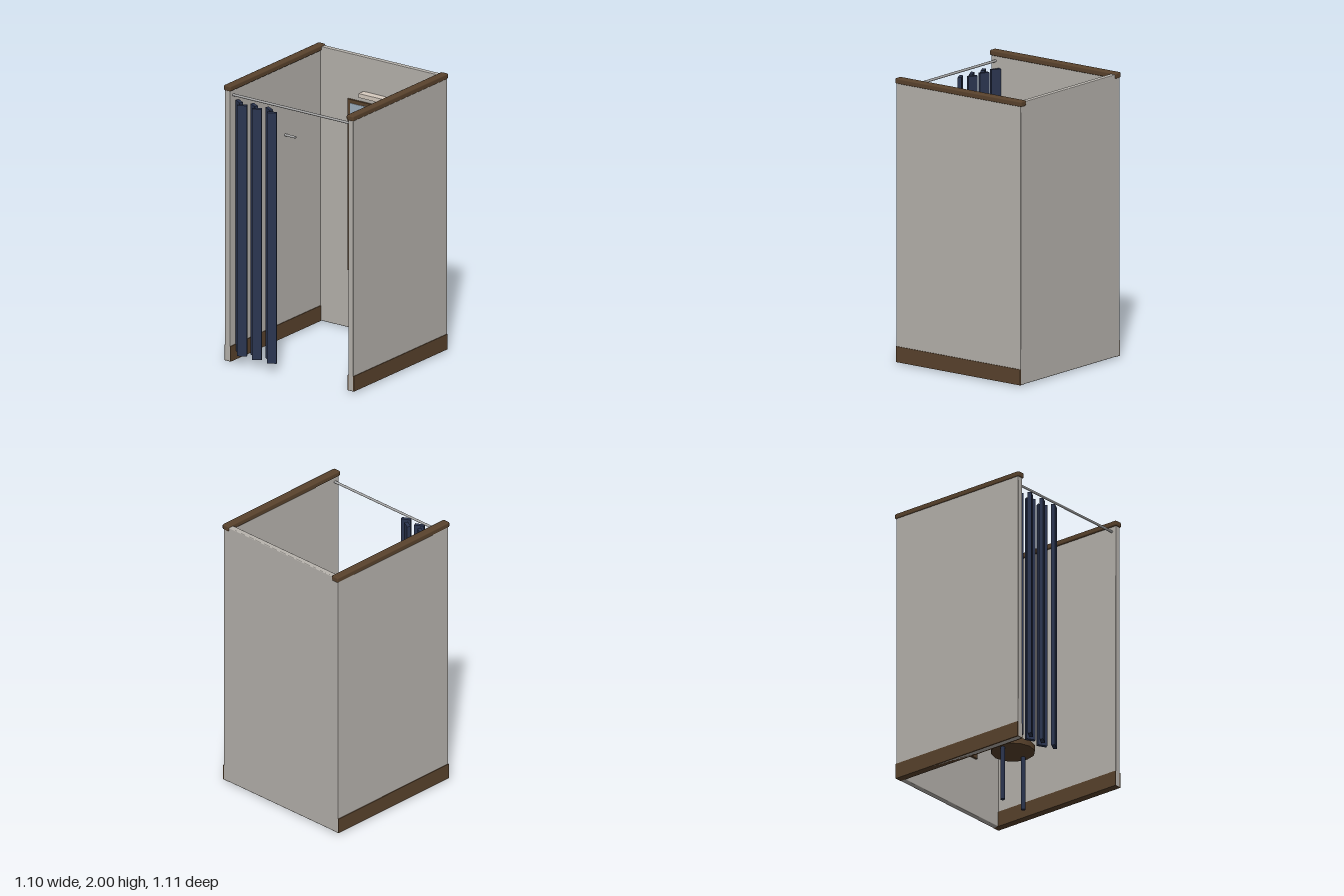
import * as THREE from 'three';
import { RoundedBoxGeometry } from 'three/addons/geometries/RoundedBoxGeometry.js';

const material = (name, color) => {
  const m = new THREE.MeshStandardMaterial({ color });
  m.name = name;
  return m;
};

export function createModel() {
  const model = new THREE.Group();
  model.name = 'fittingRoom';

  const wall = material('warm grey wall', 0xb8b4ae);
  const wood = material('dark brown wood', 0x5a432d);
  const fabric = material('navy fabric', 0x2b3550);
  const glass = material('mirror glass', 0x9fb0c0);
  const cream = material('lamp cream', 0xd8ccc0);
  const metal = material('grey metal', 0xa8a8a8);

  const add = (name, geometry, mat, x, y, z, parent = model) => {
    const mesh = new THREE.Mesh(geometry, mat);
    mesh.name = name;
    mesh.position.set(x, y, z);
    parent.add(mesh);
    return mesh;
  };
  const box = (w, h, d) => new THREE.BoxGeometry(w, h, d);
  const bevelled = (w, h, d, r) => new RoundedBoxGeometry(w, h, d, 1, r);

  // Side walls with top rail and skirting
  const midZ = -0.007;
  for (const [side, s] of [['left', 1], ['right', -1]]) {
    add(side + 'Wall', bevelled(0.044, 1.97, 1.083, 0.006), wall, s * 0.52, 0.995, midZ);
    add(side + 'TopRail', bevelled(0.06, 0.04, 1.1, 0.011), wood, s * 0.518, 1.98, midZ);
    add(side + 'Skirting', box(0.054, 0.11, 1.08), wood, s * 0.52, 0.065, midZ);
  }

  // Back wall
  add('backWall', bevelled(1.02, 1.98, 0.042, 0.006), wall, 0, 1.0, -0.528);

  // Mirror and the lamp above it
  add('mirrorFrame', box(0.52, 1.235, 0.016), wood, 0, 1.048, -0.5);
  add('mirrorGlass', box(0.472, 1.185, 0.005), glass, 0, 1.048, -0.4905);
  add('mirrorLamp', box(0.27, 0.03, 0.057), cream, 0, 1.726, -0.479);

  // Curtain rod and coat hook
  const rod = add('curtainRod', new THREE.CylinderGeometry(0.009, 0.009, 1.0, 10), metal, 0, 1.927, 0.498);
  const hook = add('coatHook', new THREE.CylinderGeometry(0.009, 0.009, 0.09, 8), metal, -0.453, 1.467, -0.1);
  rod.rotation.z = hook.rotation.z = Math.PI / 2;

  // Curtain, gathered to one side in zigzag folds
  const curtain = new THREE.Group();
  curtain.name = 'curtain';
  model.add(curtain);
  for (let i = 0; i < 6; i++) {
    const s = i % 2 ? 1 : -1;
    const fold = add('curtainFold', box(0.068, 1.81, 0.026), fabric,
      -0.465 + i * 0.063, 0.975, 0.499 + s * 0.027, curtain);
    fold.rotation.y = s * 0.5;
  }

  // Stool
  const stool = new THREE.Group();
  stool.name = 'stool';
  stool.position.set(0.27, 0, -0.188);
  model.add(stool);
  const seat = new THREE.CylinderGeometry(0.152, 0.152, 0.043, 12);
  add('stoolSeat', seat, wood, 0, 0.414, 0, stool);
  for (const s of [-1, 1]) {
    add('stoolLeg', new THREE.CylinderGeometry(0.016, 0.016, 0.395, 8), fabric, s * 0.109, 0.1975, 0, stool);
  }

  return model;
}
